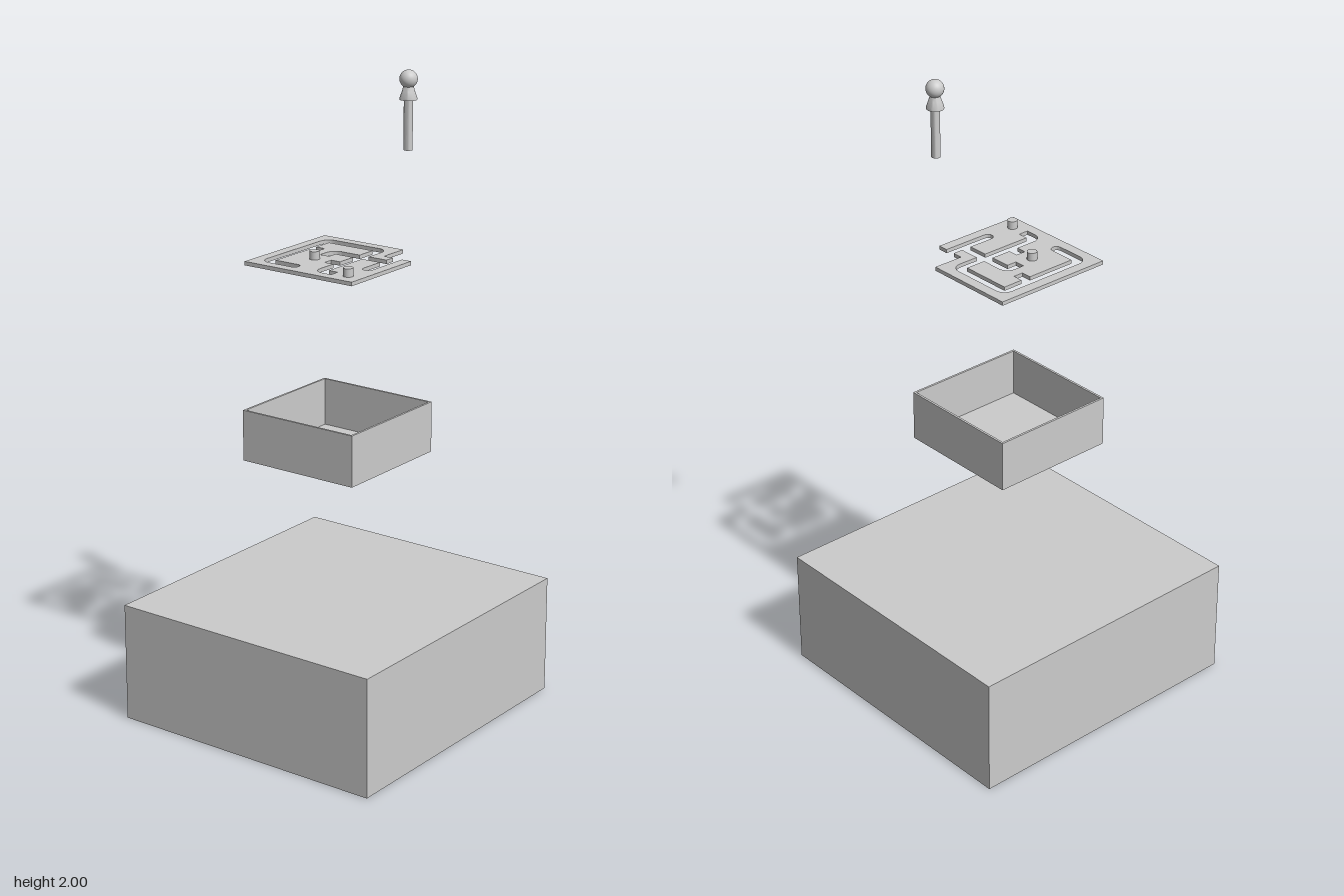
import * as THREE from 'three';
import { toCreasedNormals } from 'three/addons/utils/BufferGeometryUtils.js';

const material = new THREE.MeshStandardMaterial({ color: 0xcccccc });
const CELL = 0.0328;      // maze grid cell; the plate is 12 x 12 cells
const CENTRE_Z = -0.004;  // centre of tray and plate
const cellX = (i) => (i - 6) * CELL;
const cellZ = (j) => (j - 6) * CELL + CENTRE_Z;

function add(parent, name, geometry, x = 0, y = 0, z = 0) {
  const mesh = new THREE.Mesh(geometry, material);
  mesh.name = name;
  mesh.position.set(x, y, z);
  parent.add(mesh);
  return mesh;
}

// Closed shape from [x, y, cornerRadius] points
function roundedShape(corners) {
  const pts = corners.map(([x, y]) => new THREE.Vector2(x, y));
  const shape = new THREE.Shape();
  const n = pts.length;
  pts.forEach((p, i) => {
    const r = corners[i][2] || 0;
    const towards = (q, d) => q.clone().sub(p).setLength(d).add(p);
    const prev = pts[(i + n - 1) % n], next = pts[(i + 1) % n];
    const a = r ? towards(prev, r) : p;
    if (i === 0) shape.moveTo(a.x, a.y);
    else shape.lineTo(a.x, a.y);
    if (r) {
      const b = towards(next, r), c = towards(prev, r * 0.448), d = towards(next, r * 0.448);
      shape.bezierCurveTo(c.x, c.y, d.x, d.y, b.x, b.y);
    }
  });
  return shape;
}

// Horizontal slab: shape y becomes z, top face at y = 0
function slab(shape, depth) {
  const g = new THREE.ExtrudeGeometry(shape, { depth, bevelEnabled: false, curveSegments: 10 });
  return toCreasedNormals(g.rotateX(Math.PI / 2), 0.6);
}

function square(half, Type = THREE.Shape) {
  return new Type([[-half, -half], [half, -half], [half, half], [-half, half]]
    .map(([x, y]) => new THREE.Vector2(x, y)));
}

export function createModel() {
  const model = new THREE.Group();
  model.name = 'explodedMazeBox';

  // Solid base block
  add(model, 'baseBlock', new THREE.BoxGeometry(0.96, 0.376, 0.918), 0, 0.188, 0);

  // Open tray: four walls and a floor
  const tray = new THREE.Group();
  tray.name = 'tray';
  tray.position.set(0, 0.82, CENTRE_Z);
  model.add(tray);
  const rim = square(0.204);
  rim.holes.push(square(0.197, THREE.Path));
  add(tray, 'trayWalls', slab(rim, 0.16), 0, 0.16, 0);
  add(tray, 'trayFloor', new THREE.BoxGeometry(0.406, 0.01, 0.406), 0, 0.005, 0);

  // Maze plate: one outline whose slots all open into the corner notch
  const outline = [
    [0, 0], [12, 0], [12, 9], [9, 9], [9, 10], [8, 10], [8, 8],
    [11, 8, 1], [11, 1, 1], [1, 1, 1], [1, 5, 0.49], [2, 5, 0.49], [2, 2],
    [7, 2], [7, 3], [8, 3], [8, 2], [10, 2], [10, 7],
    [8, 7], [8, 4, 1], [6, 4], [6, 5], [7, 5], [7, 7],
    [5, 7], [5, 6], [4, 6], [4, 7], [1, 7, 1], [1, 9], [2, 9], [2, 8],
    [7, 8], [7, 10], [4, 10, 0.49], [4, 11, 0.49], [9, 11], [9, 12], [0, 12],
  ].map(([i, j, r = 0]) => [cellX(i), cellZ(j), r * CELL]);
  const plate = new THREE.Group();
  plate.name = 'mazePlate';
  plate.position.y = 1.442;
  model.add(plate);
  add(plate, 'slottedPlate', slab(roundedShape(outline), 0.012));

  // Short pegs on the plate
  for (const [i, j] of [[4.5, 4.5], [1.5, 10.5]]) {
    add(plate, 'peg', new THREE.CylinderGeometry(0.0155, 0.0155, 0.026, 32), cellX(i), 0.012, cellZ(j));
  }

  // Ball-headed pin above the notch
  const pin = new THREE.Group();
  pin.name = 'pin';
  pin.position.set(cellX(10.5), 1.762, cellZ(10.5));
  model.add(pin);
  const profile = [
    [0, 0], [0.0135, 0], [0.0135, 0.15], [0.026, 0.15], [0.026, 0.156],
    [0.019, 0.175], [0.014, 0.194], [0, 0.194],
  ].map(([r, y]) => new THREE.Vector2(r, y));
  add(pin, 'pinShaft', toCreasedNormals(new THREE.LatheGeometry(profile, 32), 0.6));
  add(pin, 'pinHead', new THREE.SphereGeometry(0.027, 32, 20), 0, 0.211, 0);

  return model;
}
